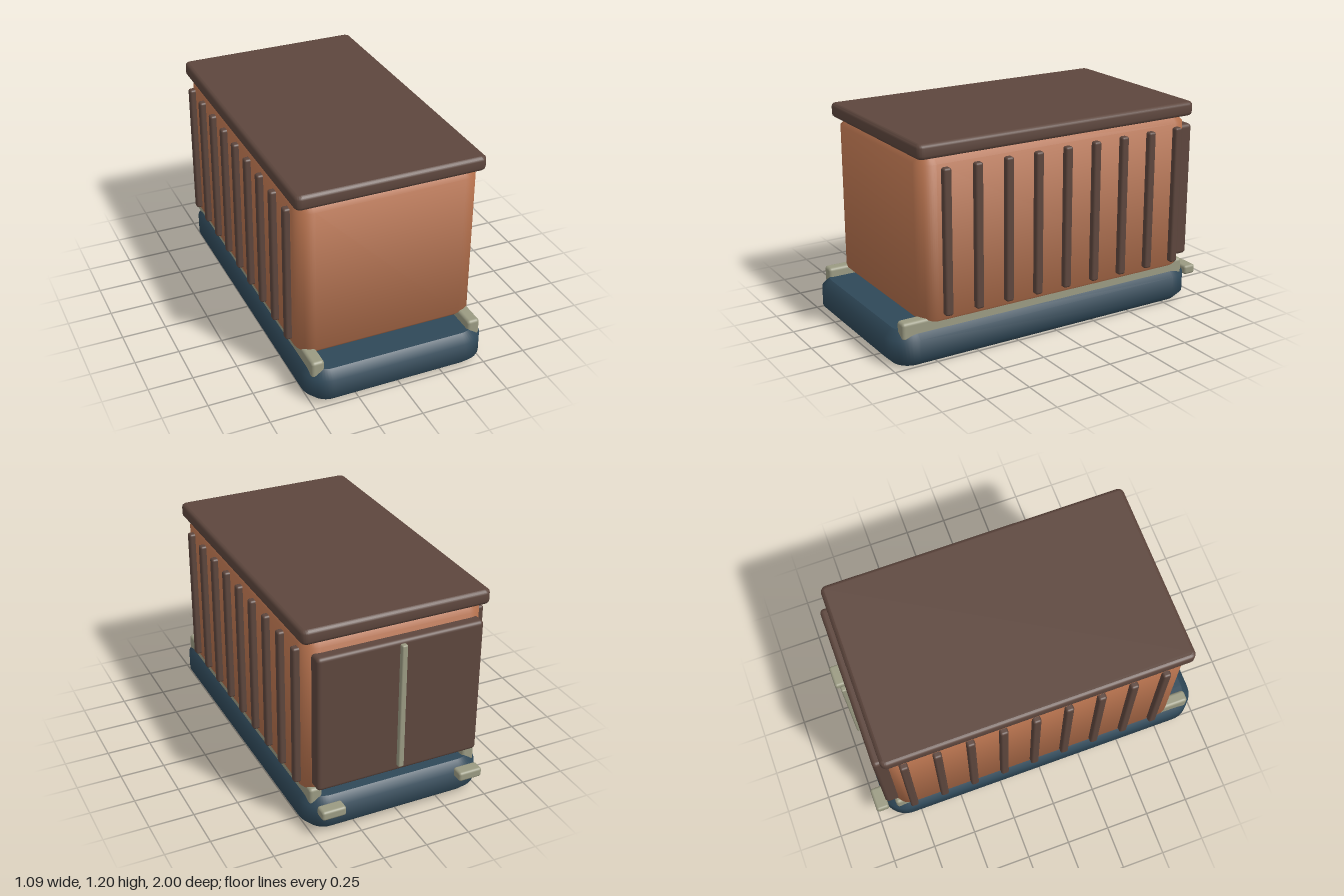
import * as THREE from 'three';
import { toCreasedNormals, mergeGeometries } from 'three/addons/utils/BufferGeometryUtils.js';
import { RoundedBoxGeometry } from 'three/addons/geometries/RoundedBoxGeometry.js';

const material = (name, color) => {
  const m = new THREE.MeshStandardMaterial({ color });
  m.name = name;
  return m;
};

// Rounded-plan slab standing on y = 0: flat caps, softly shaded walls and chamfers
function slab(width, height, depth, radius, bevel, bevelSegments = 1) {
  const x = width / 2 - radius, z = depth / 2 - radius;
  const shape = new THREE.Shape();
  shape.absarc(x, z, radius, 0, Math.PI / 2);
  shape.absarc(-x, z, radius, Math.PI / 2, Math.PI);
  shape.absarc(-x, -z, radius, Math.PI, Math.PI * 1.5);
  shape.absarc(x, -z, radius, Math.PI * 1.5, Math.PI * 2);
  const solid = new THREE.ExtrudeGeometry(shape, {
    depth: height - 2 * bevel, curveSegments: 6, bevelEnabled: true, bevelSegments,
    bevelThickness: bevel, bevelSize: bevel, bevelOffset: -bevel,
  });
  solid.rotateX(-Math.PI / 2);
  solid.translate(0, bevel, 0);

  const positions = solid.attributes.position.array;
  const [caps, walls] = solid.groups.map(({ start, count }) => {
    const part = new THREE.BufferGeometry();
    part.setAttribute('position',
      new THREE.Float32BufferAttribute(positions.slice(start * 3, (start + count) * 3), 3));
    part.computeVertexNormals();
    return part;
  });
  return mergeGeometries([caps, toCreasedNormals(walls, 1.0)]);
}

export function createModel() {
  const group = new THREE.Group();
  group.name = 'cargoContainer';

  const orange = material('copper orange', 0xb5714d);
  const brown = material('dark brown', 0x5d463d);
  const blue = material('slate blue', 0x2f4858);
  const sage = material('pale sage', 0x9a9a82);

  const add = (name, geometry, mat, x, y, z) => {
    const mesh = new THREE.Mesh(geometry, mat);
    mesh.name = name;
    mesh.position.set(x, y, z);
    group.add(mesh);
  };

  // Base, body and roof
  add('base', slab(1.04, 0.2, 1.94, 0.14, 0.045), blue, 0, 0, 0.03);
  add('body', slab(1.02, 0.92, 1.7, 0.09, 0.042), orange, 0, 0.2, -0.02);
  add('roof', slab(1.06, 0.08, 1.74, 0.035, 0.02, 3), brown, 0, 1.115, -0.02);

  // Rear door with its centre bar
  add('rearDoor', new RoundedBoxGeometry(0.94, 0.785, 0.09, 3, 0.022), brown, 0, 0.657, -0.885);
  add('doorBar', new RoundedBoxGeometry(0.032, 0.73, 0.04, 2, 0.008), sage, 0, 0.665, -0.936);

  const ribGeometry = new RoundedBoxGeometry(0.06, 0.8, 0.046, 3, 0.013);
  for (const [side, sign] of [['left', 1], ['right', -1]]) {
    // Skid rail between base and body
    add(side + 'Rail', new RoundedBoxGeometry(0.072, 0.1, 1.825, 3, 0.018), sage,
      sign * 0.456, 0.202, 0.0325);
    // Rear bumper
    add(side + 'Bumper', new RoundedBoxGeometry(0.138, 0.055, 0.075, 3, 0.015), sage,
      sign * 0.405, 0.153, -0.9625);
    // Vertical wall ribs
    for (let i = 0; i < 9; i++) {
      add(side + 'Rib' + (i + 1), ribGeometry, brown, sign * 0.513, 0.66, 0.693 - i * 0.184);
    }
  }
  return group;
}
